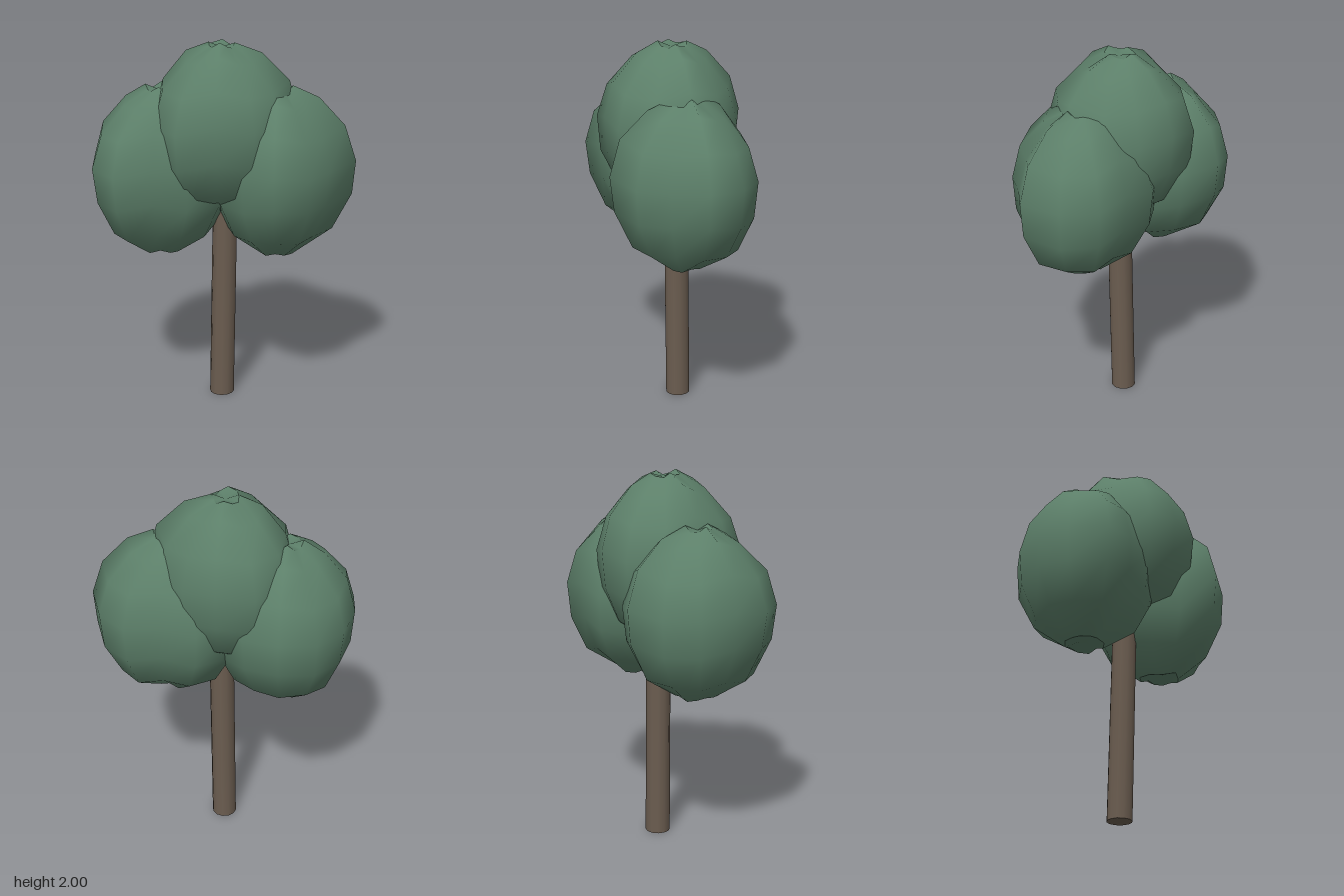
import * as THREE from 'three';

const SIDES = 12;
// Crown profile from bottom to top: [height from the widest ring, share of the outline radius, sag between the four ridges]
const PROFILE = [
  [-0.505, 0.28, 0.01], [-0.38, 0.72, 0.02], [-0.19, 0.95, 0.03], [0, 1, 0.03],
  [0.185, 0.86, 0.04], [0.33, 0.52, 0.04], [0.385, 0.2, 0.025],
];

function seeded(seed) {
  return () => {
    seed = (seed * 16807) % 2147483647;
    return seed / 2147483647 - 0.5;
  };
}

function buildGeometry(points, index) {
  const g = new THREE.BufferGeometry();
  g.setAttribute('position', new THREE.Float32BufferAttribute(points, 3));
  g.setIndex(index);
  g.computeVertexNormals();
  return g;
}

// Lumpy rounded crown: rings follow an uneven outline, each pole is a shallow dent with a ragged rim
function crown(name, center, outline, seed, material) {
  const rand = seeded(seed);
  const group = new THREE.Group();
  group.name = name;
  group.position.set(...center);

  const rings = PROFILE.map(([y, share, sag], r) => outline.map((radius, i) => {
    const a = (i / SIDES) * Math.PI * 2;
    const isRim = r === 0 || r === PROFILE.length - 1;
    const wobble = r === 3 ? 1 : 1 + rand() * (isRim ? 0.3 : 0.03);
    const d = radius * share * wobble;
    const drop = i % 3 === 0 ? 0 : sag;
    return [Math.cos(a) * d, y - drop + rand() * 0.015, Math.sin(a) * d];
  }));

  const index = [];
  for (let r = 0; r < rings.length - 1; r++) {
    for (let i = 0; i < SIDES; i++) {
      const n = (i + 1) % SIDES;
      const a = r * SIDES + i, b = r * SIDES + n, c = a + SIDES, d = b + SIDES;
      index.push(a, c, b, b, c, d);
    }
  }
  const body = new THREE.Mesh(buildGeometry(rings.flat(2), index), material);
  body.name = 'leaves';
  group.add(body);

  // Dented caps
  for (const top of [false, true]) {
    const rim = top ? rings[rings.length - 1] : rings[0];
    const pole = [0, top ? 0.355 : -0.49, 0];
    const fan = [];
    for (let i = 0; i < SIDES; i++) {
      const cur = i + 1, next = ((i + 1) % SIDES) + 1;
      fan.push(0, top ? next : cur, top ? cur : next);
    }
    const cap = new THREE.Mesh(buildGeometry([pole, ...rim].flat(), fan), material);
    cap.name = top ? 'topDent' : 'bottomDent';
    group.add(cap);
  }
  return group;
}

export function createModel() {
  const tree = new THREE.Group();
  tree.name = 'tree';
  const leafGreen = new THREE.MeshStandardMaterial({ color: 0x5c7f69 });
  leafGreen.name = 'leafGreen';
  const barkBrown = new THREE.MeshStandardMaterial({ color: 0x6b5d50 });
  barkBrown.name = 'barkBrown';

  // Slightly leaning trunk
  const height = 1.2;
  const trunkGeometry = new THREE.CylinderGeometry(0.066, 0.067, height, 12);
  trunkGeometry.translate(0, height / 2, 0);
  const p = trunkGeometry.attributes.position;
  for (let i = 0; i < p.count; i++) {
    p.setX(i, p.getX(i) - 0.02 + p.getY(i) * 0.017);
    p.setZ(i, p.getZ(i) - 0.036 + p.getY(i) * 0.015);
  }
  const trunk = new THREE.Mesh(trunkGeometry, barkBrown);
  trunk.name = 'trunk';
  tree.add(trunk);

  // Outline radii run from +x round through +z
  tree.add(
    crown('rightCrown', [-0.34, 1.38, 0],
      [0.4, 0.39, 0.34, 0.32, 0.41, 0.39, 0.355, 0.36, 0.375, 0.41, 0.38, 0.4], 11, leafGreen),
    crown('leftCrown', [0.275, 1.38, 0],
      [0.415, 0.32, 0.36, 0.405, 0.34, 0.35, 0.38, 0.42, 0.385, 0.33, 0.37, 0.39], 29, leafGreen),
    crown('topCrown', [-0.02, 1.61, 0],
      [0.41, 0.375, 0.385, 0.36, 0.41, 0.385, 0.355, 0.385, 0.395, 0.37, 0.35, 0.37], 47, leafGreen),
  );
  return tree;
}
